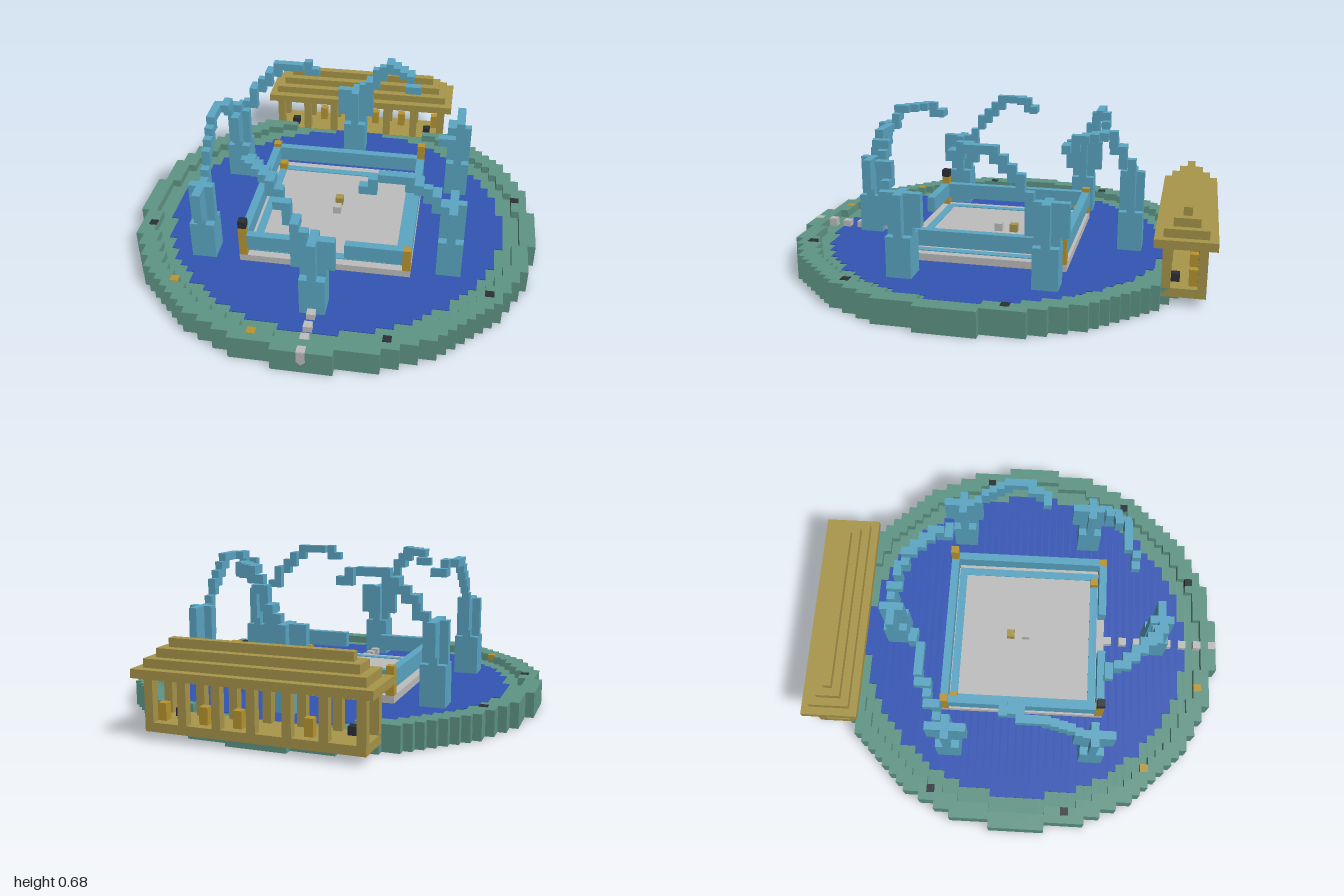
import * as THREE from 'three';
import { mergeGeometries } from 'three/addons/utils/BufferGeometryUtils.js';

const U = 2 / 53; // one block
const mat = (name, color) => Object.assign(new THREE.MeshStandardMaterial({ color }), { name });

// Box in block units: cells x0..x1 and z0..z1 inclusive, heights y0 to y1; z counts from the disc centre
function box(x0, x1, y0, y1, z0, z1) {
  const g = new THREE.BoxGeometry((x1 - x0 + 1) * U, (y1 - y0) * U, (z1 - z0 + 1) * U);
  return g.translate((x0 + x1) / 2 * U, (y0 + y1) / 2 * U, ((z0 + z1) / 2 + 1) * U);
}
const column = (x, z, y0, y1) => box(x, x, y0, y1, z, z);

// Stepped disc built from rows
function discRows(r2, y0, y1) {
  const rows = [], n = Math.floor(Math.sqrt(r2));
  for (let z = -n; z <= n; z++) {
    const w = Math.floor(Math.sqrt(r2 - z * z));
    rows.push(box(-w, w, y0, y1, z, z));
  }
  return rows;
}

export function createModel() {
  const green = mat('weathered green', 0x5f9585);
  const teal = mat('light blue', 0x5ba6c4);
  const blue = mat('water blue', 0x3355b5);
  const grey = mat('pale grey', 0xbdbdbd);
  const olive = mat('olive wood', 0xa8964a);
  const gold = mat('gold', 0xb8952f);
  const black = mat('charcoal', 0x2b2f36);

  const model = new THREE.Group();
  model.name = 'fountainPool';
  const add = (name, material, boxes, parent = model) => {
    const mesh = new THREE.Mesh(mergeGeometries(boxes), material);
    mesh.name = name;
    parent.add(mesh);
  };

  // Pool base, water and raised rim
  const OUTER = 640, INNER = 540, WATER = 451;
  add('poolBase', green, discRows(OUTER, 0, 2));
  add('water', blue, discRows(WATER, 2, 2.1));
  const rim = [];
  for (let z = -25; z <= 25; z++) {
    for (let x = -25; x <= 25; x++) {
      const d = x * x + z * z;
      const underPavilion = Math.abs(x) <= 12 && z <= -22;
      if (d <= OUTER && d > INNER && !underPavilion) rim.push(column(x, z, 2, 3));
    }
  }
  add('rim', green, rim);

  // Small blocks set into the rim
  add('rimDarkBlocks', black, [[-21, -11], [23, -6], [-23, 6], [20, 13], [9, 22]].map(([x, z]) => column(x, z, 2, 3.05)));
  add('rimGoldBlocks', gold, [[-17, 16], [-6, 23]].map(([x, z]) => column(x, z, 2, 3.05)));

  // Square platform with inlaid trim
  add('platform', grey, [box(-10, 10, 2, 3, -10, 10)]);
  add('floorTrim', teal, [
    box(-9, 9, 3, 3.1, -9, -9), box(-9, 9, 3, 3.1, 9, 9),
    box(-9, -9, 3, 3.1, -8, 8), box(9, 9, 3, 3.1, -8, 8),
  ]);
  add('rails', teal, [
    box(-9, 9, 4, 6, -10, -10),
    box(-10, -10, 4, 6, -9, 9), box(10, 10, 4, 6, -9, 9),
    box(-9, -3, 4, 6, 10, 10), box(3, 9, 4, 6, 10, 10),
  ]);

  // Corner posts and loose floor blocks
  add('cornerPosts', gold, [
    column(-10, 10, 3, 7), column(10, 10, 3, 6), column(10, -10, 3, 8), column(-10, -10, 3, 6.5),
  ]);
  add('postLamp', black, [column(-10, 10, 7, 8)]);
  add('floorGoldBlocks', gold, [[-9, -9], [8, 9]].map(([x, z]) => column(x, z, 3, 4)));
  add('centreOliveBlock', olive, [column(0, -2, 3, 4)]);
  add('centreGreyBlock', grey, [column(0, 0, 3, 4)]);

  // Stepping stones from the gate to the rim
  const stones = [11, 13, 15, 17, 19, 21].map(z => column(0, z, 2, 2.9));
  stones.push(column(0, 23, 2, 3.05), box(0, 0, 1.5, 3.05, 25, 25));
  // Pointed spout plate on the outer wall
  const spout = new THREE.Shape([[-0.5, 1.6], [0, 1.1], [0.5, 1.6], [0.5, 3], [-0.5, 3]]
    .map(([x, y]) => new THREE.Vector2(x * U, y * U)));
  const plate = new THREE.ExtrudeGeometry(spout, { depth: 0.003, bevelEnabled: false }).translate(0, 0, 26.5 * U - 0.001);
  add('steppingStones', grey, stones);
  add('spout', grey, [plate]);

  // Six pillars, each with an arm arching round and inwards
  const heights = [12, 13.4, 15, 16.2, 17, 17.5, 17.5, 17.5, 17.4, 16.6, 16.2];
  for (let n = 0; n < 6; n++) {
    const a0 = n * Math.PI / 3;
    const px = Math.round(17 * Math.sin(a0)), pz = Math.round(-17 * Math.cos(a0));
    const tower = new THREE.Group();
    tower.name = 'fountainPillar';
    model.add(tower);
    const shaft = [];
    for (let dx = -1; dx <= 1; dx++) {
      for (let dz = -1; dz <= 1; dz++) {
        shaft.push(column(px + dx, pz + dz, 2, dx && dz ? 7 : 12));
      }
    }
    // Flared shoulders along the arm direction
    const alongX = Math.abs(Math.cos(a0)) > 0.9;
    for (const s of [-2, 2]) shaft.push(column(px + (alongX ? s : 0), pz + (alongX ? 0 : s), 8, 12));
    add('shaft', teal, shaft, tower);

    const cells = new Map();
    for (let i = 0; i <= 80; i++) {
      const s = i / 80, a = a0 + (0.08 + 0.62 * s), r = 17 - 3.7 * s;
      const h = s * 10, j = Math.min(9, Math.floor(h));
      const y = Math.floor(heights[j] + (heights[j + 1] - heights[j]) * (h - j));
      const x = Math.round(r * Math.sin(a)), z = Math.round(-r * Math.cos(a));
      cells.set([x, y, z].join(), column(x, z, y, y + 1));
    }
    add('arm', teal, [...cells.values()], tower);
  }

  // Pavilion at the back: floor, posts and stepped roof
  const pavilion = new THREE.Group();
  pavilion.name = 'pavilion';
  model.add(pavilion);
  add('pavilionFloor', olive, [box(-12, 12, 1, 2.05, -26, -22)], pavilion);
  const posts = [];
  for (let x = -12; x <= 12; x += 4) posts.push(column(x, -22, 2, 7), column(x, -26, 2, 7));
  add('pavilionPosts', olive, posts, pavilion);
  const roof = [];
  for (let i = 0; i < 4; i++) roof.push(box(-13 + i, 13 - i, 7 + i, 8 + i, -27 + i, -21 - i));
  add('pavilionRoof', olive, roof, pavilion);
  add('pavilionDarkBlock', black, [column(10, -23, 2, 3), column(-10, -23, 2, 3)], pavilion);
  add('pavilionGoldBlocks', gold, [-6, 2, 6, 11].map(x => column(x, -25, 2, 4)), pavilion);

  return model;
}
